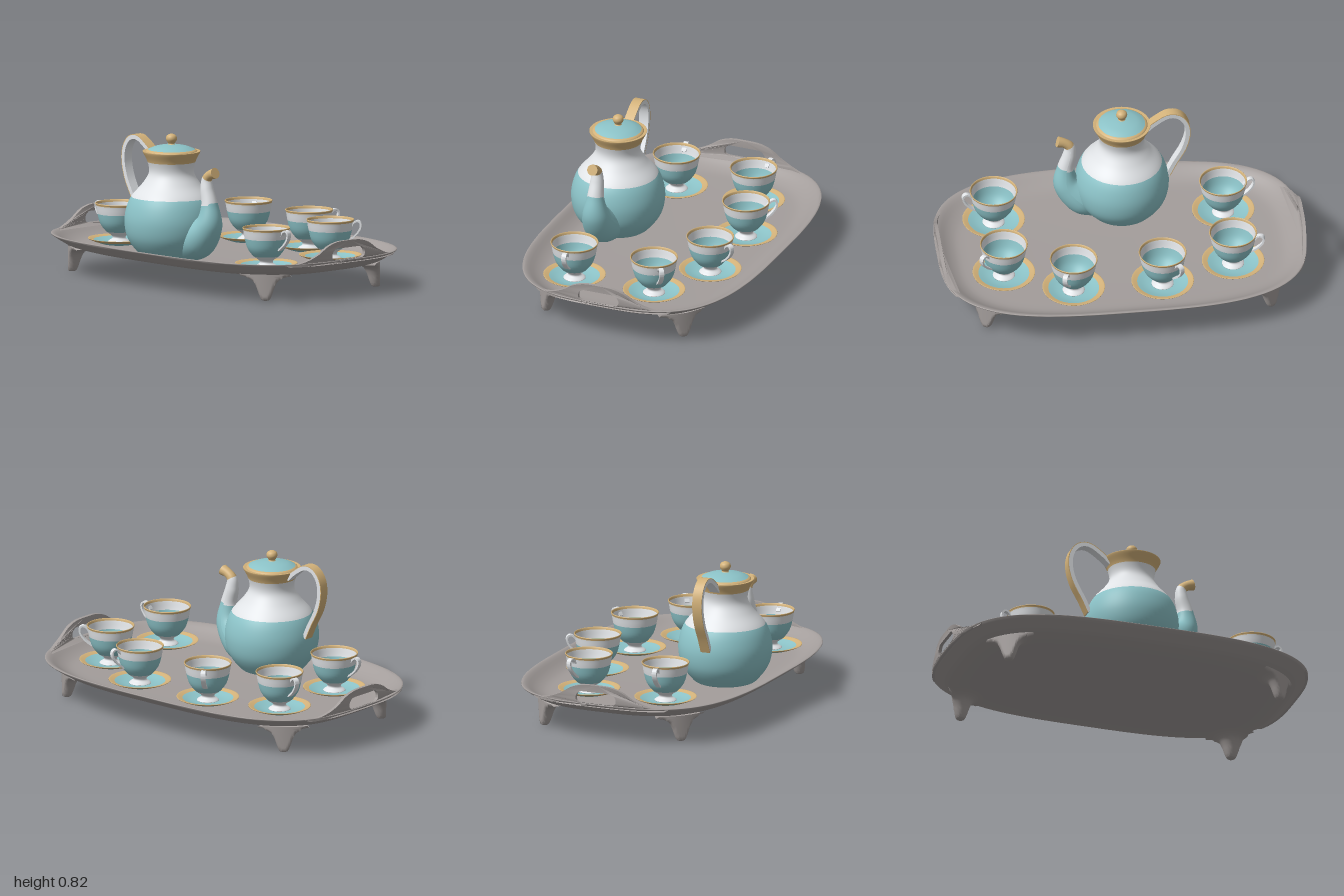
import * as THREE from 'three';
import { toCreasedNormals } from 'three/addons/utils/BufferGeometryUtils.js';

const mat = (name, color, side = THREE.FrontSide) => {
  const m = new THREE.MeshStandardMaterial({ color, side });
  m.name = name;
  return m;
};
const pewter = mat('pewter', 0xa39d9b, THREE.DoubleSide);
const teal = mat('teal glaze', 0x8cc3c8);
const white = mat('white porcelain', 0xe2e5e8);
const gold = mat('gold trim', 0xd3b27a);
const palette = [teal, white, gold];
const TEAL = 0, WHITE = 1, GOLD = 2;

const v2 = (pts) => pts.map(([x, y]) => new THREE.Vector2(x, y));
// smooth profile that still passes through every given point
const smooth = (pts, k = 6) => new THREE.SplineCurve(v2(pts)).getPoints((pts.length - 1) * k);
const lathe = (pts, seg = 48, k = 6) =>
  new THREE.LatheGeometry(smooth(pts, k).map((p) => p.setX(Math.max(p.x, 0))), seg);

function add(parent, name, geometry, material) {
  const m = new THREE.Mesh(geometry, material);
  m.name = name;
  parent.add(m);
  return m;
}

// sorts triangles into colour groups; pick(y, radius, fraction along index) gives a palette slot
function paint(geo, pick) {
  const idx = geo.index.array, p = geo.attributes.position, bins = palette.map(() => []);
  for (let i = 0; i < idx.length; i += 3) {
    const t = [idx[i], idx[i + 1], idx[i + 2]];
    const y = t.reduce((s, a) => s + p.getY(a), 0) / 3;
    const r = t.reduce((s, a) => s + Math.hypot(p.getX(a), p.getZ(a)), 0) / 3;
    bins[pick(y, r, i / idx.length)].push(...t);
  }
  geo.setIndex(bins.flat());
  let start = 0;
  bins.forEach((b, i) => {
    if (b.length) geo.addGroup(start, b.length, i);
    start += b.length;
  });
  return geo;
}

// flat strap following a path in the xy plane, between two offsets from the path
function strap(path, inner, outer, width) {
  const curve = new THREE.SplineCurve(v2(path)), n = 36, a = [], b = [];
  for (let i = 0; i <= n; i++) {
    const p = curve.getPointAt(i / n), t = curve.getTangentAt(i / n);
    a.push(new THREE.Vector2(p.x - t.y * outer, p.y + t.x * outer));
    b.unshift(new THREE.Vector2(p.x - t.y * inner, p.y + t.x * inner));
  }
  const g = new THREE.ExtrudeGeometry(new THREE.Shape([...a, ...b]), { depth: width, bevelEnabled: false });
  return toCreasedNormals(g.translate(0, 0, -width / 2), 0.7);
}

// tray outline
const N = 3.2, HALF_X = 0.65;
const outlineZ = (x) => Math.pow(1 - Math.pow(Math.abs(x) / HALF_X, N), 1 / N);
const norm = (x, z) => Math.pow(Math.pow(Math.abs(x), N) + Math.pow(Math.abs(z), N), 1 / N);

function makeTray() {
  const tray = new THREE.Group();
  tray.name = 'tray';
  // dish: a turned profile reshaped to the rounded oblong outline
  const dish = new THREE.LatheGeometry([
    ...v2([[0, 0.13], [0.5, 0.13], [0.8, 0.131]]),
    ...smooth([[0.86, 0.134], [0.92, 0.152], [0.965, 0.18], [0.998, 0.204], [0.998, 0.212],
      [0.975, 0.205], [0.93, 0.175], [0.88, 0.155], [0.82, 0.15]], 3),
    new THREE.Vector2(0, 0.15)], 128);
  const p = dish.attributes.position;
  for (let i = 0; i < p.count; i++) {
    const x = p.getX(i), z = p.getZ(i), r = Math.hypot(x, z);
    if (r < 1e-6) continue;
    const s = 1 / norm(x / r, z / r);
    const ax = r < 0.8 ? r * 0.5625 : r - 0.35;
    p.setXYZ(i, ax * (x / r) * s, p.getY(i), z * s);
  }
  add(tray, 'dish', toCreasedNormals(dish, 1.2), pewter);

  // upright end handles, bent along the rim
  const half = smooth([[0.4, 0.205], [0.31, 0.216], [0.22, 0.25], [0.15, 0.293], [0.08, 0.314], [0, 0.317]], 5);
  const top = [...half, ...half.slice(0, -1).reverse().map((q) => new THREE.Vector2(-q.x, q.y))];
  const foot = [];
  for (let i = 0; i <= 16; i++) foot.push(new THREE.Vector2(-0.38 + i * 0.0475, 0.195));
  const shape = new THREE.Shape([...top, ...foot]);
  const hole = new THREE.Path();
  hole.moveTo(-0.09, 0.215).lineTo(0.09, 0.215);
  hole.bezierCurveTo(0.14, 0.215, 0.12, 0.278, 0.08, 0.278);
  hole.lineTo(-0.08, 0.278);
  hole.bezierCurveTo(-0.12, 0.278, -0.14, 0.215, -0.09, 0.215);
  shape.holes.push(hole);
  for (const turn of [0, Math.PI]) {
    const g = new THREE.ExtrudeGeometry(shape, { depth: 0.018, bevelEnabled: false });
    const q = g.attributes.position;
    for (let i = 0; i < q.count; i++) q.setZ(i, q.getZ(i) - 0.018 + outlineZ(q.getX(i)));
    g.rotateY(turn);
    add(tray, 'trayHandle', toCreasedNormals(g, 0.7), pewter);
  }

  // tapered feet, flaring into the underside
  for (const sx of [-1, 1]) for (const sz of [-1, 1]) {
    const g = lathe([[0, 0], [0.022, 0.006], [0.036, 0.035], [0.05, 0.075], [0.068, 0.107],
      [0.1, 0.126], [0.14, 0.134]], 32, 4);
    g.translate(sx * 0.405, 0, sz * 0.775);
    const q = g.attributes.position;
    for (let i = 0; i < q.count; i++) {
      const s = Math.max(1, norm(q.getX(i) / 0.57, q.getZ(i) / 0.92));
      const lift = s > 1 ? 0.012 : 0;
      q.setXYZ(i, q.getX(i) / s, q.getY(i) + lift, q.getZ(i) / s);
    }
    add(tray, 'trayFoot', toCreasedNormals(g, 1.2), pewter);
  }
  return tray;
}

function makePot() {
  const pot = new THREE.Group();
  pot.name = 'pot';
  const body = lathe([[0, 0.15], [0.14, 0.152], [0.19, 0.185], [0.238, 0.255], [0.255, 0.335], [0.247, 0.41],
    [0.218, 0.48], [0.158, 0.55], [0.123, 0.61], [0.13, 0.67], [0.155, 0.722], [0.15, 0.728], [0.12, 0.724]], 64);
  add(pot, 'potBody', paint(body, (y) => (y > 0.67 ? GOLD : y > 0.48 ? WHITE : TEAL)), palette);

  // lid and knob
  const lid = lathe([[0.142, 0.722], [0.138, 0.73], [0.127, 0.737], [0.09, 0.752], [0.04, 0.762], [0, 0.765]], 64);
  add(pot, 'lid', paint(lid, (y, r) => (r > 0.127 ? GOLD : TEAL)), palette);
  add(pot, 'knob', lathe([[0.026, 0.758], [0.017, 0.768], [0.022, 0.776], [0.03, 0.793], [0.026, 0.81],
    [0.012, 0.82], [0, 0.822]], 32), gold);

  // spout: tube whose radius follows its own spline; columns are y, z, radius
  const rows = [[0.22, 0.12, 0.09], [0.27, 0.215, 0.105], [0.36, 0.3, 0.075], [0.46, 0.306, 0.047],
    [0.55, 0.285, 0.037], [0.605, 0.285, 0.028], [0.63, 0.315, 0.026], [0.642, 0.35, 0.03]];
  const path = new THREE.CatmullRomCurve3(rows.map(([y, z]) => new THREE.Vector3(0, y, z)));
  const radii = new THREE.SplineCurve(rows.map((r, i) => new THREE.Vector2(i, r[2])));
  const seg = 60, around = 32;
  const spout = new THREE.TubeGeometry(path, seg, 1, around);
  const p = spout.attributes.position, v = new THREE.Vector3();
  for (let i = 0; i < p.count; i++) {
    const u = Math.floor(i / (around + 1)) / seg, c = path.getPointAt(u);
    v.fromBufferAttribute(p, i).sub(c).multiplyScalar(radii.getPoint(path.getUtoTmapping(u)).y).add(c);
    p.setXYZ(i, v.x, v.y, v.z);
  }
  spout.computeVertexNormals();
  add(pot, 'spout', paint(spout, (y, r, k) => {
    const h = path.getPointAt(k).y;
    return h > 0.607 ? GOLD : h > 0.465 ? WHITE : TEAL;
  }), palette);
  const mouth = add(pot, 'spoutMouth', new THREE.CircleGeometry(0.03, 24), gold);
  mouth.position.copy(path.getPointAt(1));
  mouth.lookAt(mouth.position.clone().add(path.getTangentAt(1)));

  // strap handle with a gold outer face
  const loop = [[0.13, 0.69], [0.18, 0.735], [0.25, 0.777], [0.31, 0.768], [0.35, 0.715], [0.358, 0.64],
    [0.335, 0.55], [0.285, 0.455], [0.25, 0.38]];
  const handle = new THREE.Group();
  handle.name = 'potHandle';
  handle.rotation.y = Math.PI / 2;
  add(handle, 'handleStrap', strap(loop, -0.012, 0.01, 0.055), white);
  add(handle, 'handleGilding', strap(loop, 0.01, 0.014, 0.055), gold);
  pot.add(handle);
  pot.position.set(-0.34, 0, -0.05);
  return pot;
}

function makeCup(x, z, dx, dz) {
  const set = new THREE.Group();
  set.name = 'cupAndSaucer';
  const saucer = lathe([[0, 0.15], [0.07, 0.151], [0.12, 0.164], [0.165, 0.182], [0.166, 0.187], [0.138, 0.179],
    [0.1, 0.168], [0.06, 0.163], [0, 0.163]], 48, 3);
  add(set, 'saucer', paint(saucer, (y, r) => (r > 0.137 ? GOLD : TEAL)), palette);
  const cup = lathe([[0, 0.164], [0.056, 0.164], [0.055, 0.172], [0.036, 0.186], [0.042, 0.202], [0.07, 0.222],
    [0.102, 0.265], [0.118, 0.32], [0.126, 0.366], [0.13, 0.376], [0.126, 0.379], [0.121, 0.366],
    [0.112, 0.32], [0.095, 0.268], [0.065, 0.23], [0.043, 0.215], [0, 0.212]], 48, 4);
  add(set, 'cup', paint(cup, (y, r) =>
    (y > 0.366 ? GOLD : y > 0.32 || y < 0.222 || r < 0.043 ? WHITE : TEAL)), palette);
  const handle = add(set, 'cupHandle', strap([[0.112, 0.335], [0.13, 0.362], [0.152, 0.372], [0.168, 0.358],
    [0.165, 0.33], [0.145, 0.3], [0.12, 0.277], [0.098, 0.262]], -0.005, 0.005, 0.026), white);
  handle.rotation.y = Math.atan2(-dz, dx);
  set.position.set(x, 0, z);
  return set;
}

export function createModel() {
  const model = new THREE.Group();
  model.name = 'teaSet';
  model.add(makeTray(), makePot());
  // cup x, z and handle direction
  for (const c of [[-0.23, -0.59, -0.01, -0.17], [0.225, -0.59, 0.045, -0.16], [0.355, -0.19, 0.145, -0.09],
    [0.355, 0.295, 0.155, 0.065], [0.18, 0.655, 0.105, 0.135], [-0.29, 0.655, 0.01, 0.17]]) {
    model.add(makeCup(...c));
  }
  return model;
}
